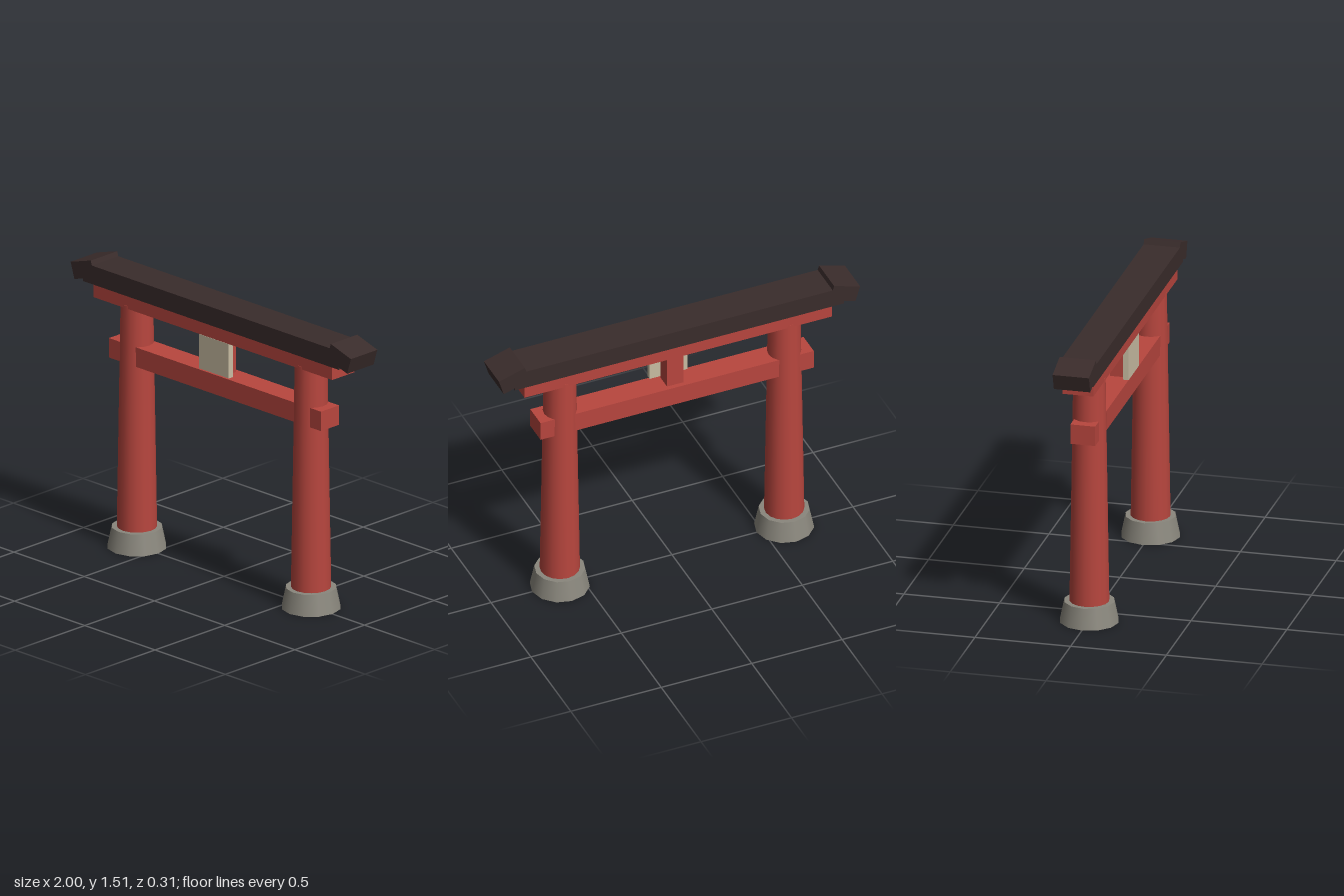
import * as THREE from 'three';

export function createModel() {
  const model = new THREE.Group();
  model.name = 'gate';

  const paint = (color) => new THREE.MeshStandardMaterial({ color });
  const red = paint(0xb8463e);
  const dark = paint(0x3a2c2b);
  const stone = paint(0x8a877d);
  const cream = paint(0xc9bda3);

  const add = (name, geometry, material, x, y, z = 0) => {
    const mesh = new THREE.Mesh(geometry, material);
    mesh.name = name;
    mesh.position.set(x, y, z);
    model.add(mesh);
    return mesh;
  };
  const box = (name, material, [w, h, d], x, y, z) =>
    add(name, new THREE.BoxGeometry(w, h, d), material, x, y, z);

  // Mirrored posts, footings and upturned roof ends
  for (const [side, s] of [['left', 1], ['right', -1]]) {
    add(side + 'Footing', new THREE.CylinderGeometry(0.13, 0.153, 0.11, 12), stone, s * 0.62, 0.055);
    add(side + 'Post', new THREE.CylinderGeometry(0.083, 0.102, 1.21, 16), red, s * 0.62, 0.715);
    const tip = box(side + 'RoofEnd', dark, [0.15, 0.09, 0.19], s * 0.913, 1.44, 0);
    tip.rotation.z = -s * 0.3;
  }

  // Horizontal beams
  box('tieBeam', red, [1.51, 0.105, 0.13], 0, 1.0525, 0);
  box('lintel', red, [1.7, 0.075, 0.16], 0, 1.3425, 0);
  box('roofBeam', dark, [1.82, 0.1, 0.19], 0, 1.43, 0);

  // Central strut with the blank plaque on its front
  box('strut', red, [0.09, 0.2, 0.08], 0, 1.205, 0);
  box('plaque', cream, [0.21, 0.185, 0.03], 0, 1.2075, 0.057);

  return model;
}
